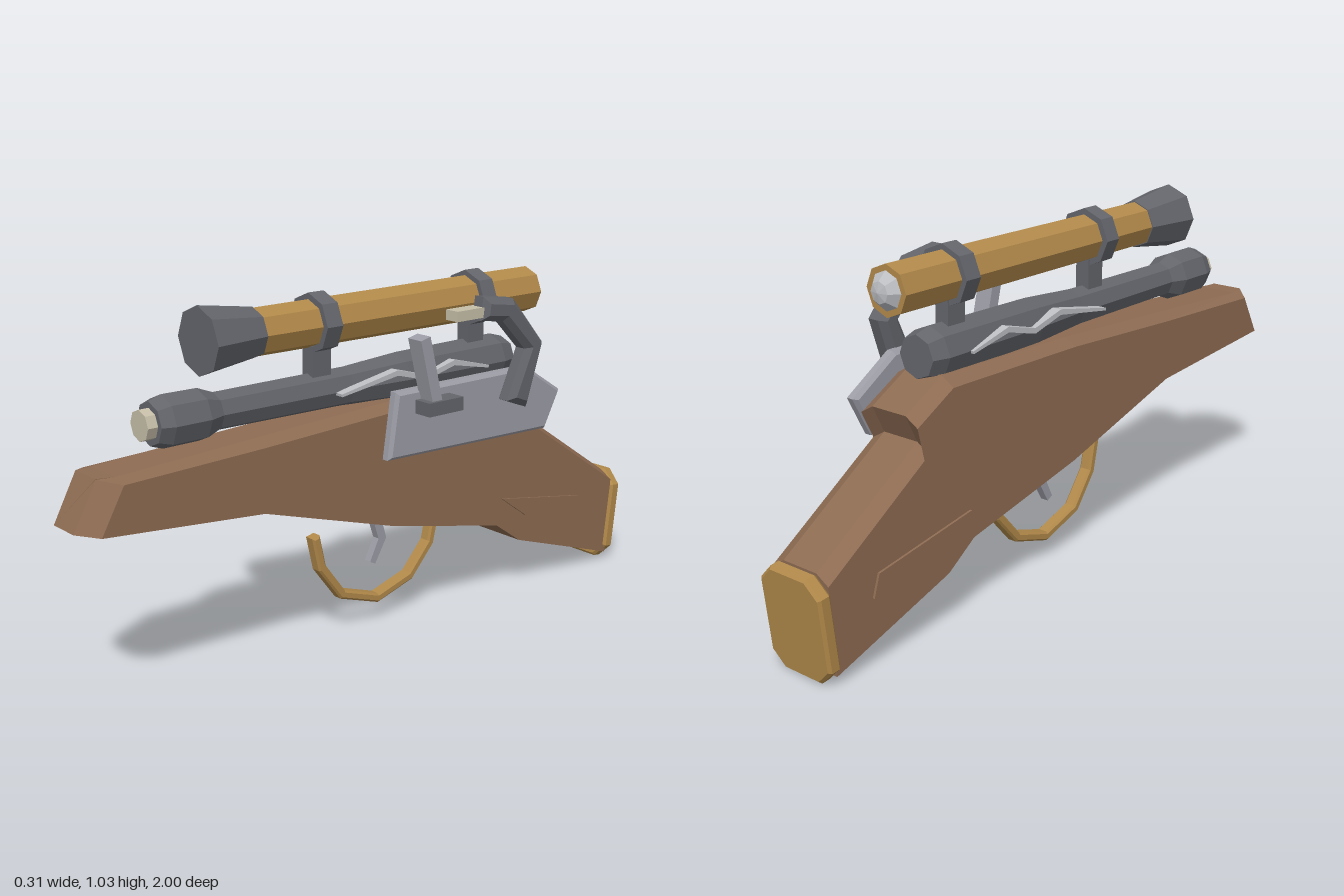
import * as THREE from 'three';

const mat = (name, color, extra = {}) => Object.assign(new THREE.MeshStandardMaterial({ color, flatShading: true, ...extra }), { name });

export function createModel() {
  const root = new THREE.Group();
  const wood = mat('wood', 0x8d6b52);
  const brass = mat('brass', 0xb1894a);
  const iron = mat('iron', 0x63656b);
  const steel = mat('steel', 0x9c9ca6);
  const silver = mat('silver', 0xbcbec2);
  const flintColor = mat('flint', 0xc6bea8);
  const CX = -0.047; // centre line of the gun

  const add = (name, geometry, material, x = 0, y = 0, z = 0) => {
    const m = new THREE.Mesh(geometry, material);
    m.name = name;
    m.position.set(x, y, z);
    root.add(m);
    return m;
  };

  // Side-on outline of [z, y] points, extruded across x and centred on it
  const slab = (pts, width, bevel = 0) => {
    const shape = new THREE.Shape(pts.map(([z, y]) => new THREE.Vector2(-z, y)));
    const g = new THREE.ExtrudeGeometry(shape, {
      depth: width - 2 * bevel, bevelEnabled: bevel > 0, bevelSize: bevel,
      bevelOffset: -bevel, bevelThickness: bevel, bevelSegments: 1,
    });
    return g.translate(0, 0, -width / 2 + bevel).rotateY(Math.PI / 2);
  };

  // Bent bar following [z, y, thickness] points
  const bar = (pts, width, bevel = 0) => {
    const near = [], far = [];
    pts.forEach(([z, y, t], i) => {
      const p = pts[Math.max(i - 1, 0)], n = pts[Math.min(i + 1, pts.length - 1)];
      const dz = n[0] - p[0], dy = n[1] - p[1], l = Math.hypot(dz, dy);
      near.push([z - dy / l * t / 2, y + dz / l * t / 2]);
      far.unshift([z + dy / l * t / 2, y - dz / l * t / 2]);
    });
    return slab([...near, ...far], width, bevel);
  };

  // Eight-sided turned part along z from [radius, z] points, rear to front
  const turned = (name, pts, material, y) =>
    add(name, new THREE.LatheGeometry(pts.map(([r, z]) => new THREE.Vector2(r, z)), 8).rotateX(Math.PI / 2), material, CX, y);

  // Stock: six-cornered sections [bottom z, y, top z, y, half width, top half width, shoulder drop]
  const sections = [
    [1, 0.515, 0.93, 0.647, 0.05, 0.05, 0.002],
    [0.95, 0.508, 0.88, 0.645, 0.102, 0.06, 0.012],
    [0.45, 0.465, 0.45, 0.668, 0.102, 0.06, 0.02],
    [0, 0.33, 0, 0.69, 0.102, 0.06, 0.02],
    [-0.43, 0.235, -0.5, 0.7, 0.102, 0.06, 0.025],
    [-0.43, 0.235, -0.635, 0.625, 0.102, 0.06, 0.025],
    [-0.53, 0.165, -0.595, 0.545, 0.102, 0.06, 0.025],
    [-0.94, 0.03, -0.955, 0.305, 0.102, 0.06, 0.025],
  ];
  const pos = [], idx = [], N = 6;
  sections.forEach(([bz, by, tz, ty, w, tw, d]) => {
    pos.push(-w, by, bz, w, by, bz, w, ty - d, tz, tw, ty, tz, -tw, ty, tz, -w, ty - d, tz);
  });
  for (let i = 0; i < sections.length - 1; i++) {
    for (let j = 0; j < N; j++) {
      const a = i * N + j, b = i * N + (j + 1) % N;
      idx.push(a, a + N, b + N, a, b + N, b);
    }
  }
  const last = (sections.length - 1) * N;
  for (let j = 1; j < N - 1; j++) idx.push(0, j, j + 1, last, last + j + 1, last + j);
  const stockGeo = new THREE.BufferGeometry();
  stockGeo.setAttribute('position', new THREE.Float32BufferAttribute(pos, 3));
  stockGeo.setIndex(idx);
  stockGeo.computeVertexNormals();
  add('stock', stockGeo, wood, CX);

  // Raised panels on both sides of the stock
  const panel = [[-0.445, 0.32], [-0.79, 0.26], [-0.81, 0.197], [-0.55, 0.245]];
  for (const s of [-1, 1]) add('stockPanel', slab(panel, 0.018), wood, CX + s * 0.1);

  // Butt plate with clipped corners
  const w = 0.11, h = 0.15, c = 0.045;
  const plate = new THREE.Shape([[-w, c - h], [c - w, -h], [w - c, -h], [w, c - h], [w, h - c], [w - c, h], [c - w, h], [-w, h - c]]
    .map(([x, y]) => new THREE.Vector2(x, y)));
  const buttGeo = new THREE.ExtrudeGeometry(plate, { depth: 0.025, bevelSize: 0.008, bevelOffset: -0.008, bevelThickness: 0.008, bevelSegments: 1 });
  add('buttPlate', buttGeo.translate(0, 0, -0.0125), brass, CX, 0.156, -0.962).rotation.x = -0.116;

  // Barrel with flared muzzle
  turned('barrel', [[0, -0.53], [0.06, -0.53], [0.074, -0.48], [0.07, -0.1], [0.056, 0.1], [0.053, 0.54],
    [0.072, 0.59], [0.073, 0.7], [0.06, 0.738], [0, 0.738]], iron, 0.745);
  turned('muzzleTip', [[0.043, 0.73], [0.043, 0.768], [0, 0.768]], flintColor, 0.745);

  // Zigzag ornaments on both sides of the barrel
  const zigzag = [[0.165, 0.742, 0.008], [-0.04, 0.776, 0.016], [-0.15, 0.746, 0.016], [-0.26, 0.774, 0.016], [-0.4, 0.742, 0.008]];
  for (const s of [-1, 1]) add('barrelOrnament', bar(zigzag, 0.03), silver, CX + s * 0.067);

  // Telescopic sight
  turned('scopeTube', [[0, -0.63], [0.07, -0.63], [0.07, -0.4], [0.067, 0.42]], brass, 0.94);
  turned('scopeHood', [[0, 0.405], [0.07, 0.405], [0.095, 0.58], [0, 0.58]], iron, 0.94);
  turned('scopeLens', [[0, -0.662], [0.03, -0.655], [0.055, -0.628]], silver, 0.94);
  for (const z of [0.19, -0.4]) {
    turned('scopeRing', [[0.06, z - 0.027], [0.086, z - 0.027], [0.086, z + 0.027], [0.06, z + 0.027]], iron, 0.94);
    add('scopeMount', new THREE.BoxGeometry(0.045, 0.11, 0.065), iron, CX, 0.825, z);
  }

  // Lock plate and flint mechanism
  add('lockPlate', slab([[0.04, 0.54], [0.01, 0.735], [-0.51, 0.735], [-0.66, 0.64], [-0.6, 0.525]], 0.04, 0.01), steel, 0.07);
  add('hammer', bar([[-0.275, 0.945, 0.07], [-0.38, 0.93, 0.075], [-0.49, 0.81, 0.075], [-0.425, 0.64, 0.085]], 0.07, 0.018), iron, 0.112);
  add('flint', new THREE.BoxGeometry(0.048, 0.03, 0.11), flintColor, 0.11, 0.935, -0.23);
  add('frizzen', bar([[-0.05, 0.89, 0.036], [-0.1, 0.69, 0.036]], 0.055), steel, 0.112);
  add('frizzenBase', new THREE.BoxGeometry(0.065, 0.04, 0.13), iron, 0.118, 0.685, -0.122);

  // Trigger and guard
  add('trigger', bar([[-0.015, 0.34, 0.03], [-0.04, 0.26, 0.03], [-0.002, 0.19, 0.022]], 0.025), steel, CX);
  const guard = [[0.212, 0.32], [0.19, 0.22], [0.115, 0.12], [-0.02, 0.075], [-0.15, 0.115], [-0.23, 0.205], [-0.25, 0.29]];
  add('triggerGuard', bar(guard.map(([z, y]) => [z, y, 0.028]), 0.04, 0.006), brass, CX);

  return root;
}
